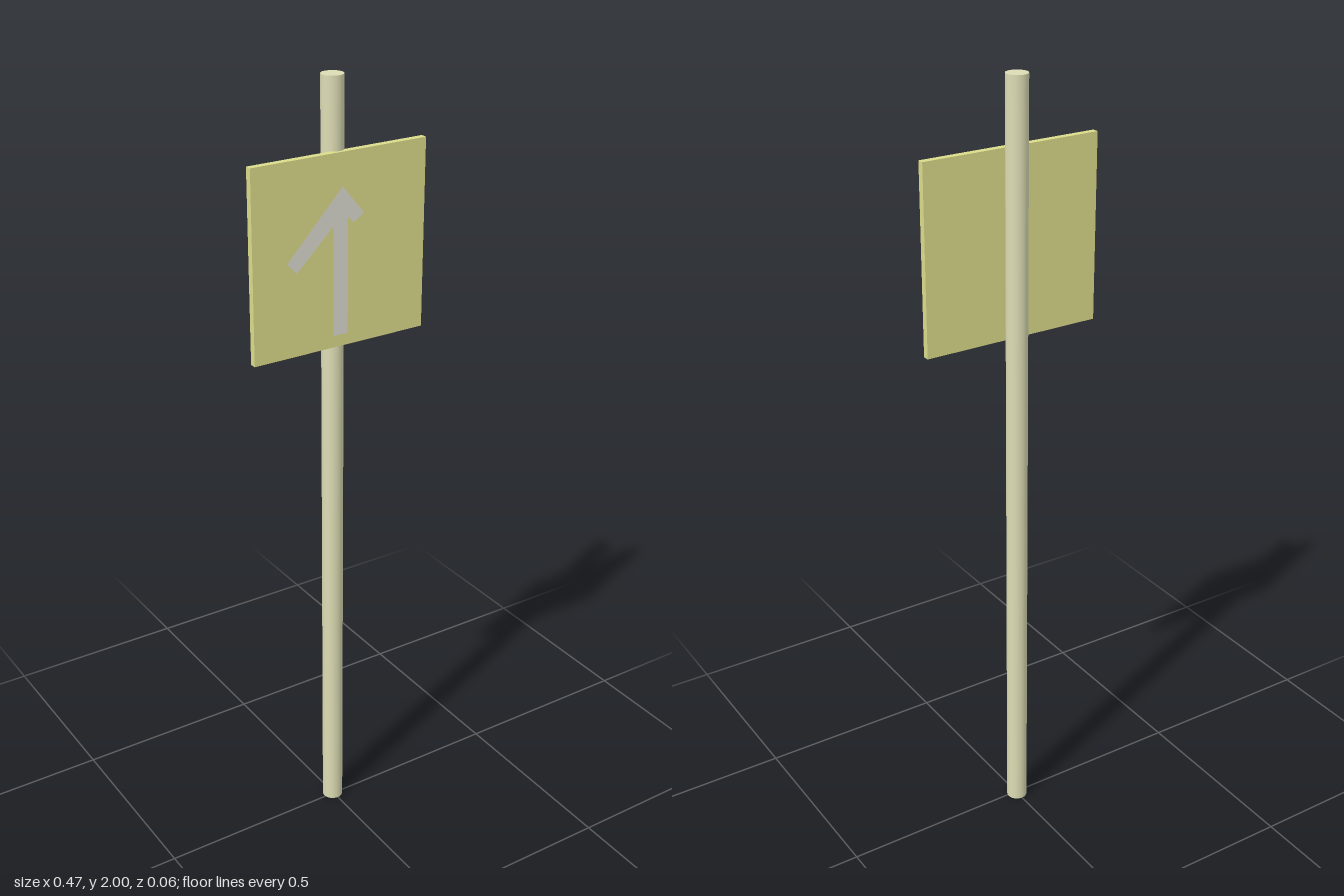
import * as THREE from 'three';

export function createModel() {
  const group = new THREE.Group();
  const add = (name, geometry, color, x, y, z) => {
    const mesh = new THREE.Mesh(geometry, new THREE.MeshStandardMaterial({ color }));
    mesh.name = name;
    mesh.position.set(x, y, z);
    group.add(mesh);
    return mesh;
  };

  // Round post, full height
  add('post', new THREE.CylinderGeometry(0.027, 0.027, 2, 32), 0xdcdcb4, 0, 1, -0.005);

  // Square sign panel, let slightly into the front of the post
  add('signPanel', new THREE.BoxGeometry(0.472, 0.47, 0.017), 0xdcdc8c, 0, 1.595, 0.0215);

  // Flat arrow with a long left barb and a short right barb
  const outline = [
    [-0.02, 1.39], [0.02, 1.39], [0.02, 1.675], [0.035, 1.66], [0.064, 1.678],
    [0.005, 1.75], [-0.146, 1.592], [-0.12, 1.565], [-0.02, 1.66],
  ].map(([x, y]) => new THREE.Vector2(x, y));
  const arrow = add('arrow', new THREE.ShapeGeometry(new THREE.Shape(outline)), 0xdcdcd2, 0, 0, 0.031);
  arrow.material.side = THREE.DoubleSide;

  return group;
}
